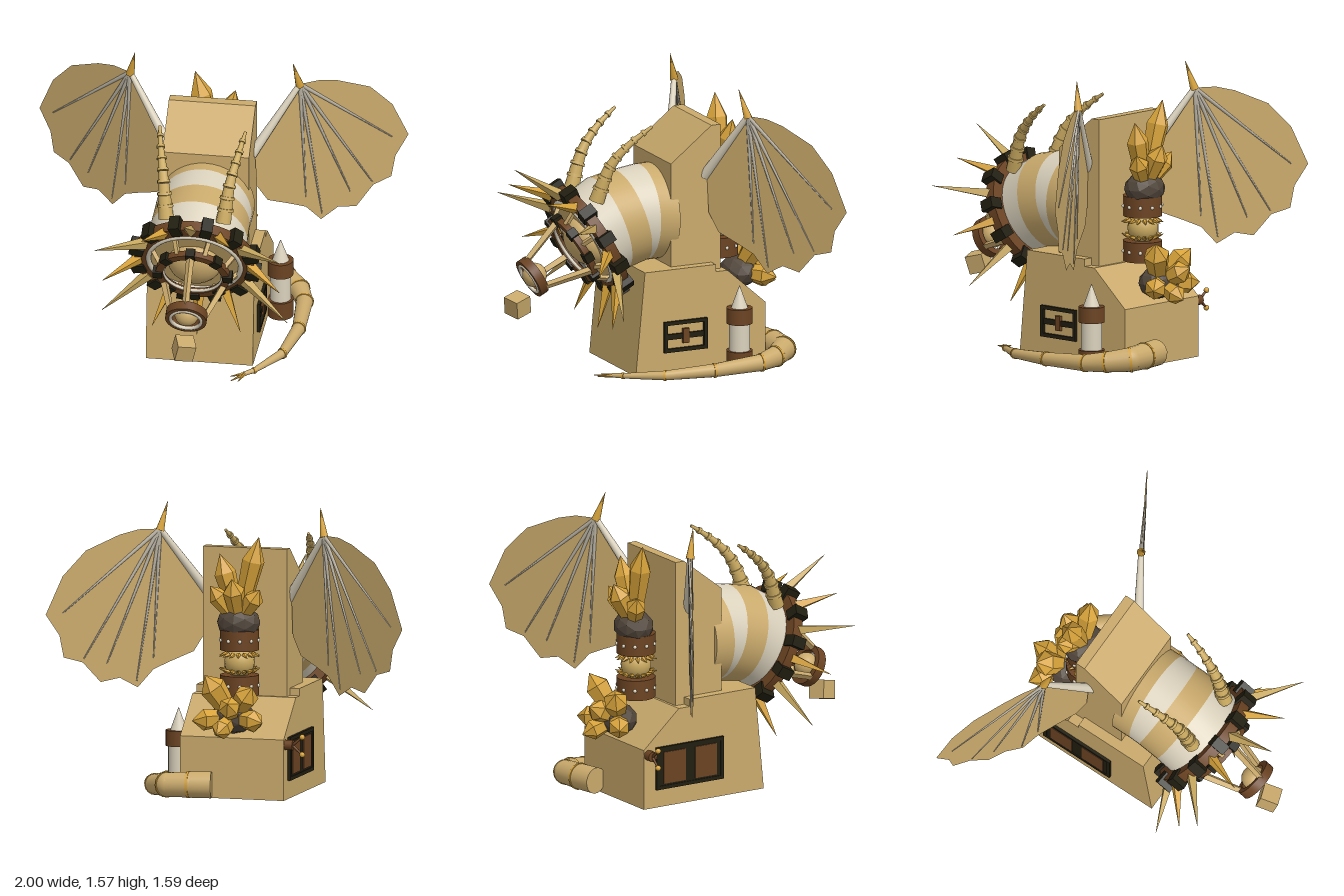
import * as THREE from 'three';
import { toCreasedNormals } from 'three/addons/utils/BufferGeometryUtils.js';

const mat = (name, color, side = THREE.FrontSide) => {
  const m = new THREE.MeshStandardMaterial({ color, side });
  m.name = name;
  return m;
};
const V = (x, y, z) => new THREE.Vector3(x, y, z);

export function createModel() {
  const root = new THREE.Group();
  const tan = mat('tan', 0xcaaa6c), membrane = mat('wing tan', 0xcaaa6c, THREE.DoubleSide);
  const ivory = mat('ivory', 0xdbd2bd), brown = mat('brown', 0x6b4322), black = mat('black', 0x211e10);
  const gold = mat('gold', 0xd6a23a), rock = mat('dark rock', 0x51463b), horn = mat('horn', 0xc9a960);
  const bone = mat('bone grey', 0xb9b2a3);

  const add = (parent, name, geo, m, pos) => {
    const mesh = new THREE.Mesh(geo, m);
    mesh.name = name;
    if (pos) mesh.position.copy(pos);
    parent.add(mesh);
    return mesh;
  };
  const box = (parent, name, m, w, h, d, pos) => add(parent, name, new THREE.BoxGeometry(w, h, d), m, pos);
  const ball = (parent, name, m, r, pos) => add(parent, name, new THREE.SphereGeometry(r, 20, 14), m, pos);
  // tapered rod from a to b
  const bar = (parent, name, m, a, b, r0, r1, seg = 12) => {
    const d = b.clone().sub(a);
    let g = new THREE.CylinderGeometry(r1, r0, d.length(), seg);
    if (seg < 8) g = toCreasedNormals(g, 0.3);
    const mesh = add(parent, name, g, m, a.clone().add(b).multiplyScalar(0.5));
    mesh.quaternion.setFromUnitVectors(V(0, 1, 0), d.normalize());
    return mesh;
  };
  // flat ring facing +z
  const ring = (parent, name, m, ri, ro, z0, z1) => {
    const p = [[ro, z0], [ro, z1], [ri, z1], [ri, z0], [ro, z0]].map(q => new THREE.Vector2(...q));
    const g = toCreasedNormals(new THREE.LatheGeometry(p, 40), 0.6);
    g.rotateX(Math.PI / 2);
    return add(parent, name, g, m);
  };
  // side profile of [z, y] points extruded across x
  const slab = (name, pts, w) => {
    const s = new THREE.Shape(pts.map(([z, y]) => new THREE.Vector2(-z, y)));
    const g = new THREE.ExtrudeGeometry(s, { depth: w, bevelEnabled: false });
    g.translate(0, 0, -w / 2).rotateY(Math.PI / 2);
    return add(root, name, g, tan);
  };

  // Body
  slab('base', [[0.165, 0], [0.11, 0.57], [-0.31, 0.57], [-0.31, 0.53], [-0.38, 0.53], [-0.605, 0.33], [-0.605, 0]], 0.58);
  slab('tower', [[-0.07, 0.56], [-0.07, 1.14], [-0.31, 1.328], [-0.365, 1.328], [-0.365, 0.52], [-0.2, 0.52]], 0.47);

  // Bent neck of striped bands; each ring is z, y, tilt, radius
  const rings = [[-0.115, 0.83, 0, 0.26], [0, 0.83, 0, 0.26], [0.07, 0.82, 0.26, 0.26],
    [0.195, 0.79, 0.3, 0.265], [0.305, 0.72, 0.488, 0.262]];
  for (let i = 0; i < 4; i++) {
    const g = new THREE.CylinderGeometry(1, 1, 1, 40, 1, true), p = g.attributes.position;
    for (let k = 0; k < p.count; k++) {
      const [z, y, t, r] = rings[p.getY(k) > 0 ? i + 1 : i], u = -p.getZ(k) * r;
      p.setXYZ(k, p.getX(k) * r, y + u * Math.cos(t), z + u * Math.sin(t));
    }
    g.computeVertexNormals();
    add(root, 'neckBand', g, i % 2 ? ivory : tan);
  }
  add(root, 'neckBack', new THREE.CircleGeometry(0.26, 40).rotateY(Math.PI), tan, V(0, 0.83, -0.115));

  // Head, facing its local +z
  const head = new THREE.Group();
  head.name = 'head';
  head.position.set(0, 0.715, 0.315);
  head.rotation.x = 0.488;
  root.add(head);
  const polar = (r, a, z) => V(Math.cos(a) * r, Math.sin(a) * r, z);
  ring(head, 'collar', brown, 0.26, 0.325, -0.03, 0.03);
  add(head, 'faceDisc', new THREE.CylinderGeometry(0.262, 0.262, 0.03, 40).rotateX(Math.PI / 2), tan);
  add(head, 'collarTrim', new THREE.TorusGeometry(0.25, 0.014, 10, 40), ivory, V(0, 0, 0.025));
  ball(head, 'faceDome', tan, 0.145, V(0, 0, 0.02)).scale.z = 0.7;
  ring(head, 'innerRing', brown, 0.16, 0.2, 0.08, 0.115);
  add(head, 'innerTrim', new THREE.TorusGeometry(0.16, 0.009, 8, 36), ivory, V(0, 0, 0.1));
  for (let i = 0; i < 12; i++) {
    const a = i * Math.PI / 6, b = a + Math.PI / 12;
    const r = i === 9 ? 0.47 : i % 2 ? 0.58 : 0.48;
    bar(head, 'spike', i % 2 && i !== 9 ? horn : gold, polar(0.3, a, 0.02), polar(r, a, 0.18), 0.033, 0.001, 4);
    box(head, 'collarBlock', black, 0.075, 0.06, 0.085, polar(0.32, b, 0)).rotation.z = b;
  }
  for (let i = 0; i < 8; i++) {
    const a = i * Math.PI / 4;
    box(head, 'innerBlock', black, 0.05, 0.05, 0.05, polar(0.19, a, 0.1)).rotation.z = a;
    bar(head, 'ringStay', tan, polar(0.25, a + 0.39, 0.01), polar(0.19, a + 0.39, 0.09), 0.016, 0.016, 4);
  }
  for (let i = 0; i < 3; i++) {
    const a = Math.PI / 2 + i * Math.PI * 2 / 3;
    bar(head, 'muzzleStrut', tan, polar(0.185, a, 0.1), polar(0.095, a, 0.36), 0.022, 0.018, 4);
  }
  ring(head, 'muzzleRing', brown, 0.08, 0.112, 0.345, 0.395);
  add(head, 'muzzleTrim', new THREE.TorusGeometry(0.083, 0.01, 8, 32), ivory, V(0, 0, 0.392));
  ball(head, 'muzzleBall', tan, 0.066, V(0, 0, 0.355));

  // Floating cube below the muzzle
  box(root, 'cube', tan, 0.1, 0.1, 0.1, V(0, 0.395, 0.73)).rotation.set(0.25, 0.3, -0.25);

  for (const s of [1, -1]) {
    // Ridged horns
    const hc = new THREE.CatmullRomCurve3([V(s * 0.155, 0.96, 0.335), V(s * 0.18, 1.16, 0.26),
      V(s * 0.21, 1.28, 0.15), V(s * 0.232, 1.36, 0.04)]);
    const hr = t => 0.042 - 0.034 * t;
    for (let i = 0; i < 8; i++) {
      const a = hc.getPointAt(i / 8), b = hc.getPointAt((i + 1) / 8);
      bar(root, 'horn', horn, a, b, hr(i / 8), hr((i + 1) / 8));
      if (i) bar(root, 'hornRidge', horn, a, a.clone().lerp(b, 0.25), hr(i / 8) + 0.007, hr(i / 8) + 0.005);
    }

    // Wings on a swept-back plane
    const wp = (x, y, o = 0) => V(s * x, y, -0.42 - (x - 0.46) * 0.61 + o);
    const outline = [[0.46, 1.42], [0.56, 1.42], [0.65, 1.395], [0.81, 1.315], [0.92, 1.18], [1, 0.975], [0.935, 0.86],
      [0.915, 0.74], [0.825, 0.71], [0.74, 0.6], [0.65, 0.62], [0.565, 0.565], [0.49, 0.66], [0.41, 0.7],
      [0.3, 0.75], [0.245, 0.85], [0.235, 1.07]];
    const g = new THREE.ShapeGeometry(new THREE.Shape(outline.map(([x, y]) => new THREE.Vector2(s * x, y))));
    const p = g.attributes.position;
    for (let k = 0; k < p.count; k++) p.setZ(k, wp(Math.abs(p.getX(k)), 0).z);
    g.computeVertexNormals();
    add(root, 'wingMembrane', g, membrane);
    bar(root, 'wingArm', ivory, wp(0.22, 1.05), wp(0.46, 1.42), 0.028, 0.015);
    for (const [x, y] of [[0.92, 0.98], [0.82, 0.73], [0.71, 0.7], [0.57, 0.6], [0.49, 0.72]])
      bar(root, 'wingRib', bone, wp(0.46, 1.42), wp(x, y), 0.012, 0.003, 8);
    bar(root, 'wingClaw', gold, wp(0.46, 1.41), V(s * 0.428, 1.565, -0.38), 0.024, 0.001, 8);
  }

  // Rocket standing beside the base
  for (const [name, m, y0, y1, r0, r1] of [['rocketFoot', brown, 0, 0.1, 0.07, 0.07], ['rocketBody', ivory, 0.1, 0.25, 0.056, 0.056],
    ['rocketBand', brown, 0.25, 0.335, 0.07, 0.07], ['rocketNose', ivory, 0.335, 0.455, 0.045, 0.002]])
    bar(root, name, m, V(0.355, y0, -0.42), V(0.355, y1, -0.42), r0, r1, 24);

  // Segmented tail curling round the left side, with a claw
  const tail = [[0.1, 0.078, -0.655, 0.072], [0.22, 0.078, -0.68, 0.07], [0.34, 0.075, -0.69, 0.066], [0.43, 0.062, -0.6, 0.056],
    [0.475, 0.05, -0.49, 0.046], [0.485, 0.04, -0.21, 0.036], [0.435, 0.03, 0.06, 0.026], [0.31, 0.02, 0.25, 0.014], [0.26, 0.016, 0.29, 0.012]];
  for (let i = 0; i < tail.length - 1; i++) {
    const [x, y, z, r] = tail[i], [x1, y1, z1, r1] = tail[i + 1], a = V(x, y, z), b = V(x1, y1, z1);
    bar(root, 'tail', tan, a, b, r, r1, 16);
    if (i) {
      ball(root, 'tailJoint', tan, r, a);
      const d = b.sub(a).setLength(0.006);
      bar(root, 'tailBand', gold, a.clone().sub(d), a.clone().add(d), r + 0.004, r + 0.004, 16);
    }
  }
  for (const [x, z] of [[0.19, 0.32], [0.2, 0.37], [0.24, 0.37]])
    bar(root, 'tailClaw', gold, V(0.265, 0.016, 0.285), V(x, 0.012, z), 0.011, 0.002, 6);

  // Hatch on each side of the base
  const hatch = (s, z0, z1, y0, y1) => {
    const x = s * 0.295, zc = (z0 + z1) / 2, yc = (y0 + y1) / 2, w = z1 - z0, h = y1 - y0;
    for (const y of [y0 + 0.01, y1 - 0.01]) box(root, 'hatchFrame', black, 0.022, 0.02, w, V(x, y, zc));
    for (const z of [z0 + 0.01, z1 - 0.01]) box(root, 'hatchFrame', black, 0.022, h, 0.02, V(x, yc, z));
    return [x, yc, zc, w, h];
  };
  let [x, y, z, w] = hatch(1, -0.255, 0, 0.115, 0.285);
  box(root, 'hatchBar', black, 0.016, 0.03, w, V(x, y, z));
  box(root, 'hatchLatch', brown, 0.03, 0.08, 0.035, V(x, y, z));
  let h;
  [x, y, z, w, h] = hatch(-1, -0.53, -0.1, 0.1, 0.335);
  box(root, 'doorBack', black, 0.012, h, w, V(x, y, z));
  for (const o of [-0.1, 0.1]) box(root, 'doorPanel', brown, 0.022, h - 0.06, 0.14, V(x, y, z + o));
  // Forked lever
  bar(root, 'leverMount', brown, V(-0.28, 0.3, -0.575), V(-0.335, 0.3, -0.575), 0.028, 0.028);
  for (const ly of [0.25, 0.345]) {
    bar(root, 'lever', brown, V(-0.33, 0.3, -0.575), V(-0.385, ly, -0.575), 0.008, 0.006);
    ball(root, 'leverKnob', gold, 0.015, V(-0.385, ly, -0.575));
  }

  // Reactor stack on the back
  const sz = -0.465;
  for (const y0 of [0.545, 0.79]) {
    bar(root, 'stackDrum', brown, V(0, y0, sz), V(0, y0 + 0.11, sz), 0.105, 0.105, 28);
    for (let i = 0; i < 10; i++) {
      const a = i * Math.PI / 5;
      ball(root, 'rivet', ivory, 0.01, V(0.105 * Math.cos(a), y0 + 0.055, sz + 0.105 * Math.sin(a)));
    }
  }
  ball(root, 'stackCore', horn, 0.082, V(0, 0.722, sz));
  for (let i = 0; i < 14; i++) for (const yy of [0.675, 0.77]) {
    const a = i * Math.PI / 7, c = Math.cos(a), q = Math.sin(a);
    bar(root, 'coreSpike', gold, V(c * 0.07, yy, sz + q * 0.07), V(c * 0.112, yy + (yy > 0.7 ? -0.015 : 0.015), sz + q * 0.112), 0.014, 0.001, 5);
  }

  // Crystal clusters growing from dark rocks
  const cluster = (c, rr, tips) => {
    add(root, 'rock', toCreasedNormals(new THREE.IcosahedronGeometry(rr, 1), 0.1), rock, c).scale.set(1.15, 0.85, 1);
    for (const [tx, ty, tz, r] of tips) {
      const d = V(tx, ty, tz).sub(c), L = d.length();
      const prof = [[0, 0], [r * 0.6, 0], [r, L * 0.72], [0, L]].map(q => new THREE.Vector2(...q));
      const m = add(root, 'crystal', toCreasedNormals(new THREE.LatheGeometry(prof, 6), 0.1), gold, c);
      m.quaternion.setFromUnitVectors(V(0, 1, 0), d.normalize());
    }
  };
  cluster(V(0, 0.94, -0.48), 0.105, [[-0.12, 1.41, -0.5, 0.062], [0.1, 1.31, -0.5, 0.06], [0.14, 1.14, -0.55, 0.055],
    [-0.14, 1.13, -0.55, 0.055], [0, 1.19, -0.61, 0.06]]);
  cluster(V(0, 0.44, -0.585), 0.105, [[0.13, 0.675, -0.68, 0.072], [-0.14, 0.62, -0.69, 0.068], [0.19, 0.43, -0.72, 0.06],
    [-0.2, 0.43, -0.7, 0.06], [0.03, 0.37, -0.79, 0.055], [-0.03, 0.54, -0.785, 0.06]]);

  return root;
}
